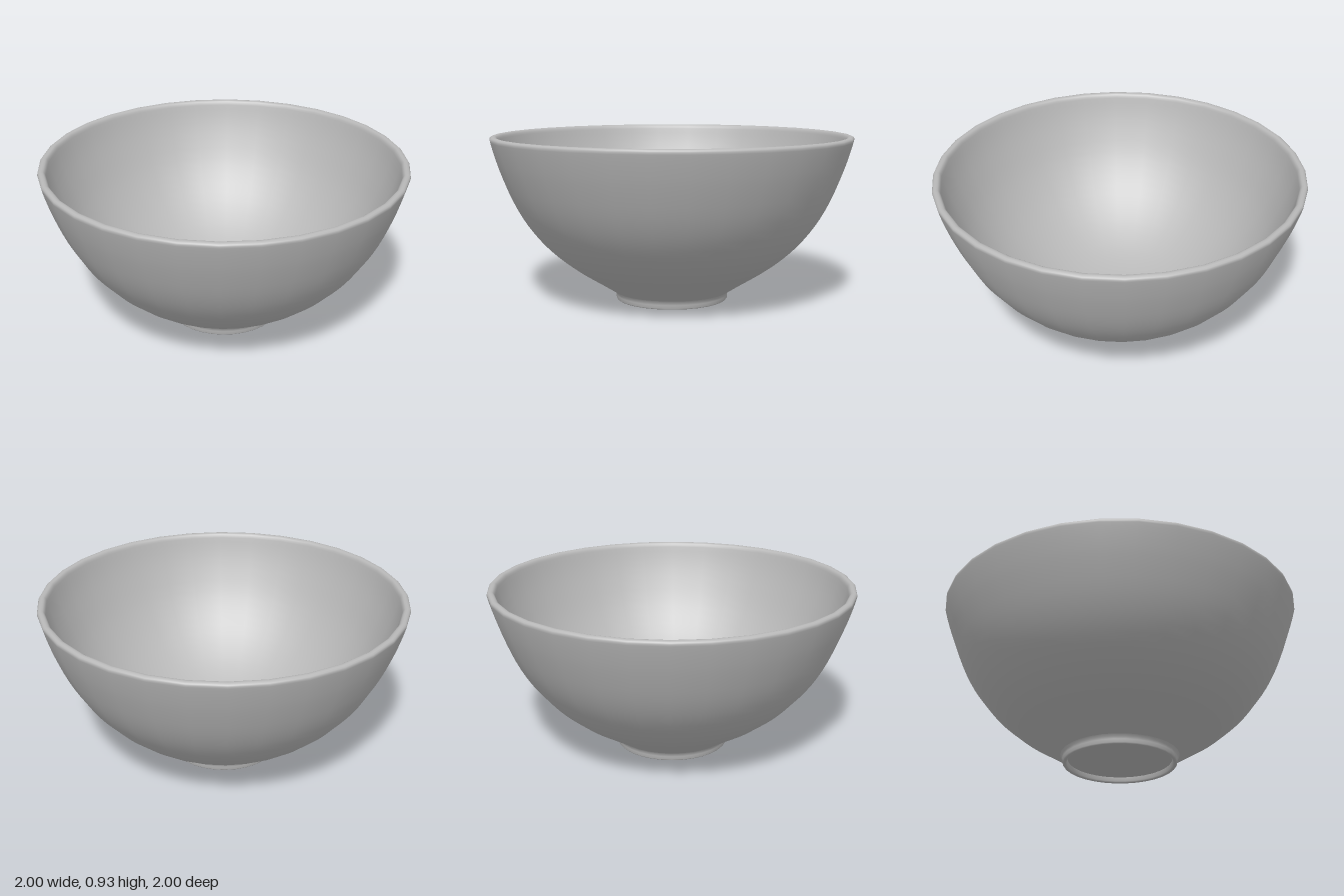
import * as THREE from 'three';

const SIDES = 32;
// radii are given across the flats, so widen them to the corners
const WIDEN = 1 / Math.cos(Math.PI / SIDES);

const points = (list) => list.map(([r, y]) => new THREE.Vector2(r * WIDEN, y));
const curve = (list, n) => new THREE.SplineCurve(points(list)).getPoints(n);

export function createModel() {
  const model = new THREE.Group();
  model.name = 'bowl';
  const glaze = new THREE.MeshStandardMaterial({ color: 0xb8b8b8 });
  glaze.name = 'grey glaze';

  const turn = (name, profile) => {
    const mesh = new THREE.Mesh(
      new THREE.LatheGeometry(profile, SIDES, Math.PI / SIDES), glaze);
    mesh.name = name;
    model.add(mesh);
  };

  // recessed disc under the bowl
  turn('underside', points([[0, 0.03], [0.285, 0.03]]));

  // low foot ring with rounded lower edges
  turn('footRing', points([
    [0.285, 0.03], [0.288, 0.008], [0.293, 0.001], [0.3, 0],
    [0.307, 0.001], [0.312, 0.007], [0.313, 0.025], [0.316, 0.038], [0.325, 0.05],
  ]));

  // outer wall, rounded rim and inner wall in one smooth sweep
  const outside = curve([
    [0.325, 0.05], [0.42, 0.11], [0.54, 0.185], [0.64, 0.262], [0.73, 0.35],
    [0.815, 0.46], [0.885, 0.585], [0.945, 0.73], [0.98, 0.835], [0.998, 0.9],
  ], 24);
  const rim = points([
    [1, 0.91], [0.997, 0.918], [0.99, 0.924], [0.98, 0.926],
    [0.97, 0.924], [0.963, 0.919], [0.958, 0.91],
  ]);
  const inside = curve([
    [0.955, 0.9], [0.935, 0.825], [0.9, 0.725], [0.84, 0.59], [0.77, 0.475],
    [0.69, 0.375], [0.6, 0.29], [0.5, 0.216], [0.38, 0.15], [0.25, 0.105],
    [0.12, 0.082], [0, 0.075],
  ], 26);
  turn('bowlWall', [...outside, ...rim, ...inside]);

  return model;
}
